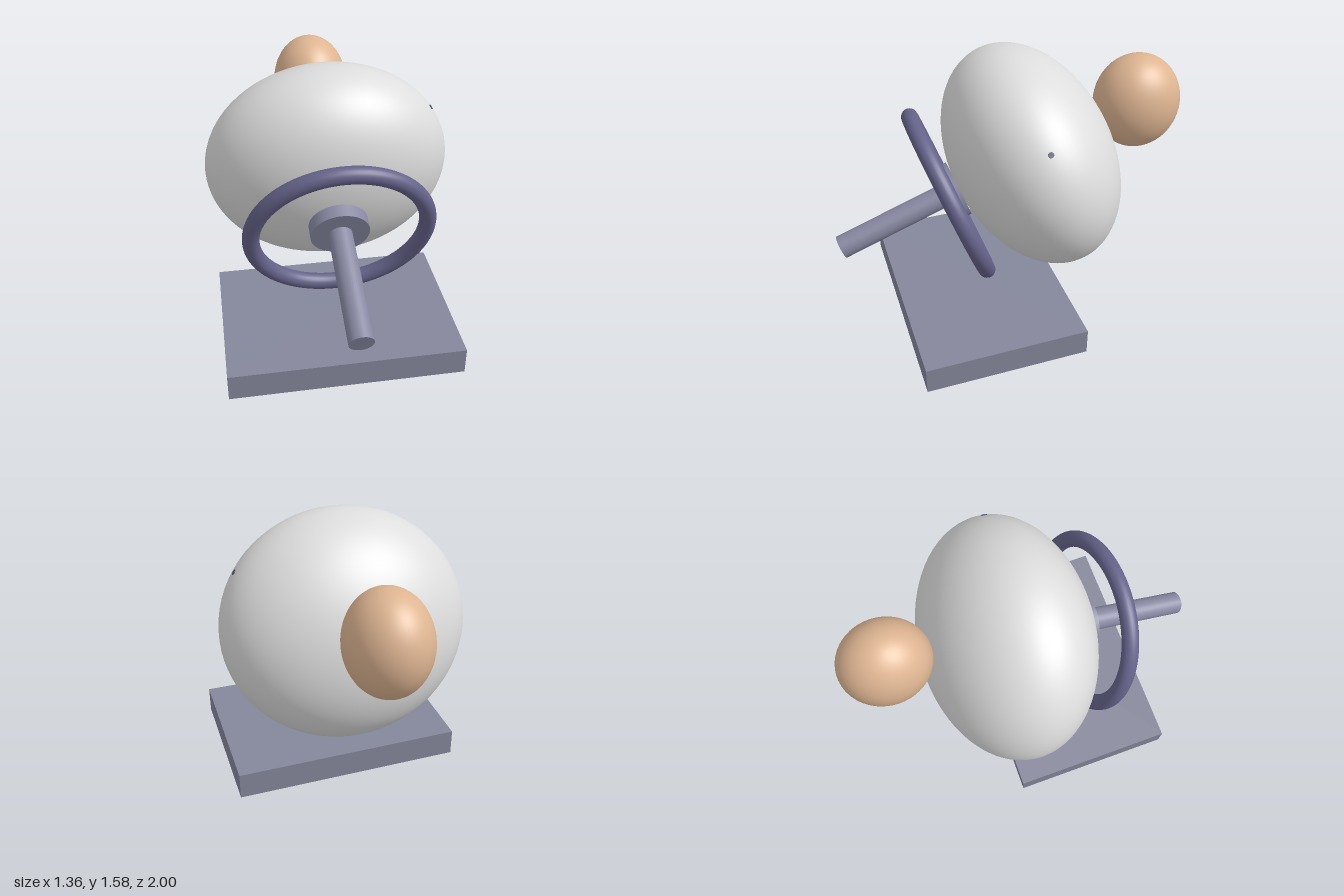
import * as THREE from 'three';

export function createModel() {
  const model = new THREE.Group();
  model.name = 'airbagRig';

  const material = (name, color) => {
    const m = new THREE.MeshStandardMaterial({ color });
    m.name = name;
    return m;
  };
  const baseGrey = material('base grey', 0x85879b);
  const steel = material('column grey', 0x8889a2);
  const rimPurple = material('rim purple grey', 0x65638a);
  const fabric = material('bag white', 0xdddddd);
  const skin = material('head tan', 0xdeb592);
  const ventDark = material('vent slate', 0x555a70);

  const add = (parent, name, geometry, mat, x, y, z) => {
    const mesh = new THREE.Mesh(geometry, mat);
    mesh.name = name;
    mesh.position.set(x, y, z);
    parent.add(mesh);
    return mesh;
  };

  // Flat base block
  add(model, 'base', new THREE.BoxGeometry(1.315, 0.157, 0.925), baseGrey, 0, 0.0785, 0.2275);

  // Head behind the bag
  add(model, 'head', new THREE.SphereGeometry(1, 48, 32).scale(0.22, 0.275, 0.25), skin, 0, 1.19, -0.75);

  // Steering assembly: local +z runs down the tilted column
  const steering = new THREE.Group();
  steering.name = 'steeringAssembly';
  steering.position.set(0, 0.795, 0.3625);
  steering.rotation.x = THREE.MathUtils.degToRad(20);
  model.add(steering);

  add(steering, 'wheelRim', new THREE.TorusGeometry(0.474, 0.046, 24, 96), rimPurple, 0, 0, 0);
  add(steering, 'hub', new THREE.CylinderGeometry(0.16, 0.16, 0.075, 48).rotateX(Math.PI / 2), steel, 0, 0, -0.0255);
  add(steering, 'column', new THREE.CylinderGeometry(0.065, 0.065, 0.68, 40).rotateX(Math.PI / 2), steel, 0, 0, 0.32);

  // Inflated bag, a flattened ellipsoid square to the column
  const radii = new THREE.Vector3(0.682, 0.631, 0.447);
  const bag = new THREE.Group();
  bag.name = 'bag';
  bag.position.z = -0.505;
  steering.add(bag);
  const shell = new THREE.SphereGeometry(1, 72, 48).rotateX(Math.PI / 2).scale(radii.x, radii.y, radii.z);
  add(bag, 'bagShell', shell, fabric, 0, 0, 0);

  // Small vent on the bag's left shoulder, laid along the surface
  const spot = new THREE.Vector3(0.564, 0.352, -0.025);
  const normal = spot.clone().divide(radii).divide(radii).normalize();
  const vent = add(bag, 'vent', new THREE.CylinderGeometry(0.015, 0.015, 0.008, 16), ventDark, spot.x, spot.y, spot.z);
  vent.quaternion.setFromUnitVectors(new THREE.Vector3(0, 1, 0), normal);

  return model;
}
